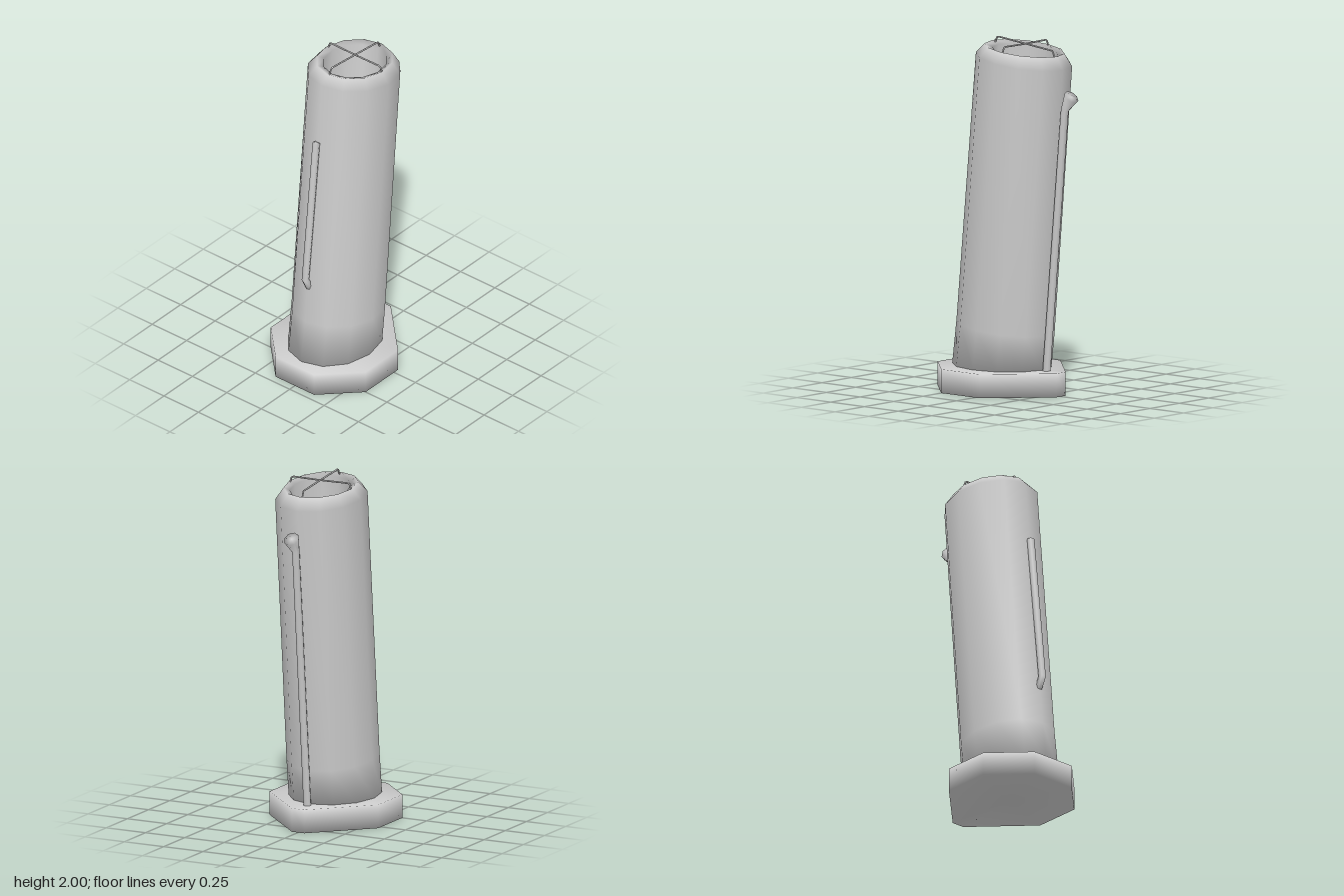
import * as THREE from 'three';

const material = new THREE.MeshStandardMaterial({ color: 0xcccccc, side: THREE.DoubleSide });

// Skin a list of equal-sized rings of [x, y, z] points, closed at both ends
function loft(name, rings) {
  const n = rings[0].length, last = rings.length - 1;
  const middle = ring => [0, 1, 2].map(k => ring.reduce((s, p) => s + p[k], 0) / n);
  const points = [...rings.flat(), middle(rings[0]), middle(rings[last])];
  const index = [], low = points.length - 2, high = points.length - 1;
  for (let j = 0; j < n; j++) {
    const k = (j + 1) % n;
    for (let i = 0; i < last; i++) {
      const a = i * n + j, b = i * n + k;
      index.push(a, b, a + n, b, b + n, a + n);
    }
    index.push(low, k, j, high, last * n + j, last * n + k);
  }
  const geometry = new THREE.BufferGeometry();
  geometry.setAttribute('position', new THREE.Float32BufferAttribute(points.flat(), 3));
  geometry.setIndex(index);
  geometry.computeVertexNormals();
  const mesh = new THREE.Mesh(geometry, material);
  mesh.name = name;
  return mesh;
}

// Ellipse lying flat; tilt raises its front and lowers its back
function ellipse(y, z, rx, rz, tilt, sides = 12) {
  return Array.from({ length: sides }, (_, i) => {
    const a = i / sides * Math.PI * 2, c = Math.cos(a);
    return [rx * Math.sin(a), y + tilt * c, z + rz * c];
  });
}

// Circle on the centre plane, facing along the direction (dy, dz)
function pipeRing(y, z, r, dy, dz, sides = 8) {
  const l = Math.hypot(dy, dz);
  return Array.from({ length: sides }, (_, i) => {
    const a = i / sides * Math.PI * 2, c = r * Math.cos(a);
    return [r * Math.sin(a), y - c * dz / l, z + c * dy / l];
  });
}

function wire(name, points) {
  const curve = new THREE.CatmullRomCurve3(points.map(p => new THREE.Vector3(...p)), false, 'catmullrom', 0.05);
  const mesh = new THREE.Mesh(new THREE.TubeGeometry(curve, 40, 0.005, 6), material);
  mesh.name = name;
  return mesh;
}

export function createModel() {
  const group = new THREE.Group();
  group.name = 'leaningFunnel';

  // Eight-sided plinth, drawn out to the back under the steam pipe
  const half = [[0.14, 0.455], [0.345, 0.25], [0.345, -0.035], [0.04, -0.34]];
  const outline = [...half, ...half.map(([x, z]) => [-x, z]).reverse()];
  group.add(loft('plinth', [0, 0.135].map(y => outline.map(([x, z]) => [x, y, z]))));

  // Raked oval funnel with a bevelled lip and hollow inside
  group.add(loft('funnel', [
    ellipse(0.13, 0.1, 0.25, 0.3, 0),
    ellipse(0.36, 0.072, 0.25, 0.295, 0.03),
    ellipse(1.885, -0.065, 0.25, 0.287, 0.035),
    ellipse(1.947, -0.07, 0.2, 0.24, 0.023),
    ellipse(1.93, -0.075, 0.165, 0.2, 0.02),
    ellipse(0.5, 0.065, 0.165, 0.2, 0.02),
  ]));

  // Short pipe on the front, bending into the funnel at its foot
  group.add(loft('frontPipe', [
    pipeRing(0.61, 0.33, 0.02, 1, 0.5),
    pipeRing(0.675, 0.362, 0.021, 1, 0.1),
    pipeRing(1.555, 0.267, 0.021, 1, -0.1),
  ]));

  // Tall pipe at the back with a flared mouth
  group.add(loft('backPipe', [
    pipeRing(0.13, -0.232, 0.022, 1, -0.09),
    pipeRing(1.625, -0.367, 0.022, 1, -0.3),
    pipeRing(1.705, -0.418, 0.045, 0.73, -0.68),
  ]));

  // Crossed wires over the mouth
  group.add(wire('crossWire', [
    [-0.195, 1.94, -0.075], [-0.18, 1.975, -0.075], [0, 1.973, -0.075],
    [0.18, 1.975, -0.075], [0.195, 1.94, -0.075],
  ]));
  group.add(wire('lengthWire', [
    [0, 1.96, 0.15], [0, 1.994, 0.13], [0, 1.974, -0.075], [0, 1.953, -0.275], [0, 1.92, -0.29],
  ]));

  return group;
}
